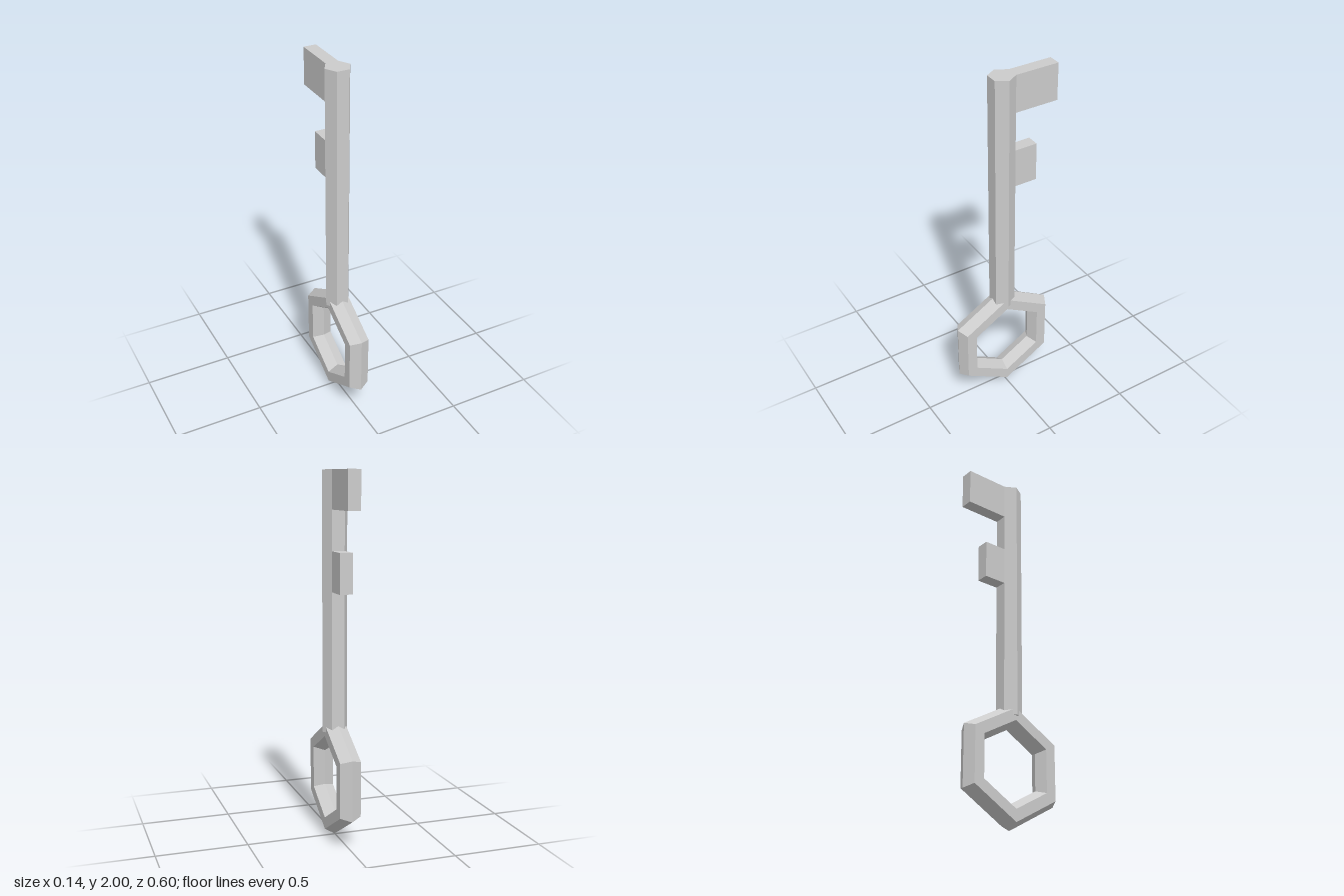
import * as THREE from 'three';

const Z = 0.006; // depth of the key's axis

export function createModel() {
  const key = new THREE.Group();
  key.name = 'key';
  const material = new THREE.MeshStandardMaterial({ color: 0xcccccc, flatShading: true });

  const add = (name, geometry, x, y, z) => {
    const mesh = new THREE.Mesh(geometry, material);
    mesh.name = name;
    mesh.position.set(x, y, z);
    key.add(mesh);
  };

  // Hexagonal handle ring with a six-sided section, one corner pointing up
  const ring = new THREE.TorusGeometry(0.268, 0.067, 6, 6);
  ring.rotateZ(Math.PI / 2).rotateY(Math.PI / 2);
  add('bow', ring, 0, 0.335, Z);

  // Six-sided shaft, with edges at left and right
  const bottom = 0.595, top = 2, radius = 0.07;
  const shaft = new THREE.CylinderGeometry(radius, radius, top - bottom, 6);
  shaft.rotateY(Math.PI / 2);
  add('shaft', shaft, 0, (top + bottom) / 2, Z);

  // Teeth grow from the flat back face of the shaft
  const back = Z - radius * Math.sqrt(3) / 2;
  const teeth = [
    ['endTooth', 1.795, 2, -0.3],
    ['innerTooth', 1.365, 1.58, -0.182],
  ];
  for (const [name, y0, y1, tip] of teeth) {
    add(name, new THREE.BoxGeometry(radius, y1 - y0, back - tip), 0, (y0 + y1) / 2, (back + tip) / 2);
  }

  return key;
}
